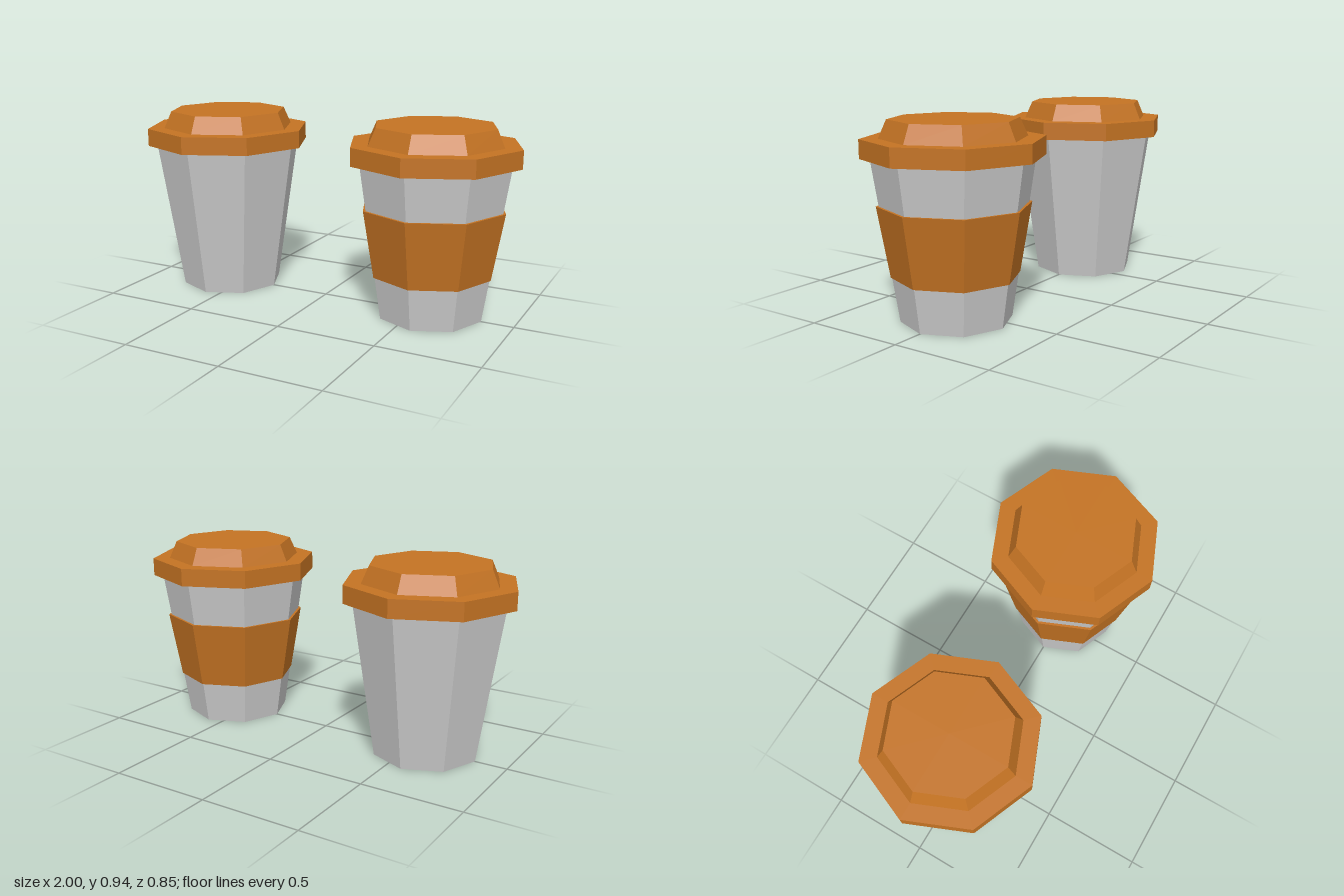
import * as THREE from 'three';

const SIDES = 8;
const grey = new THREE.MeshStandardMaterial({ color: 0xcccccc, flatShading: true });
const brown = new THREE.MeshStandardMaterial({ color: 0xc47323, flatShading: true });

// Eight-sided tapered ring between two heights
function frustum(name, y0, r0, y1, r1, material) {
  const geometry = new THREE.CylinderGeometry(r1, r0, y1 - y0, SIDES);
  geometry.translate(0, (y0 + y1) / 2, 0);
  const mesh = new THREE.Mesh(geometry, material);
  mesh.name = name;
  return mesh;
}

function createCup(name, x, hasSleeve) {
  const cup = new THREE.Group();
  cup.name = name;
  cup.position.x = x;

  // Tapered paper body
  cup.add(frustum('body', 0, 0.262, 0.77, 0.378, grey));

  // Lid: wide rim with a raised, bevelled top
  const lid = new THREE.Group();
  lid.name = 'lid';
  lid.add(
    frustum('lidRim', 0.762, 0.423, 0.85, 0.423, brown),
    frustum('lidTop', 0.85, 0.338, 0.935, 0.3, brown)
  );
  cup.add(lid);

  // Heat sleeve around the middle
  if (hasSleeve) cup.add(frustum('sleeve', 0.212, 0.3, 0.545, 0.357, brown));
  return cup;
}

export function createModel() {
  const model = new THREE.Group();
  model.name = 'takeawayCups';
  model.add(
    createCup('plainCup', -0.577, false),
    createCup('sleevedCup', 0.577, true)
  );
  return model;
}
